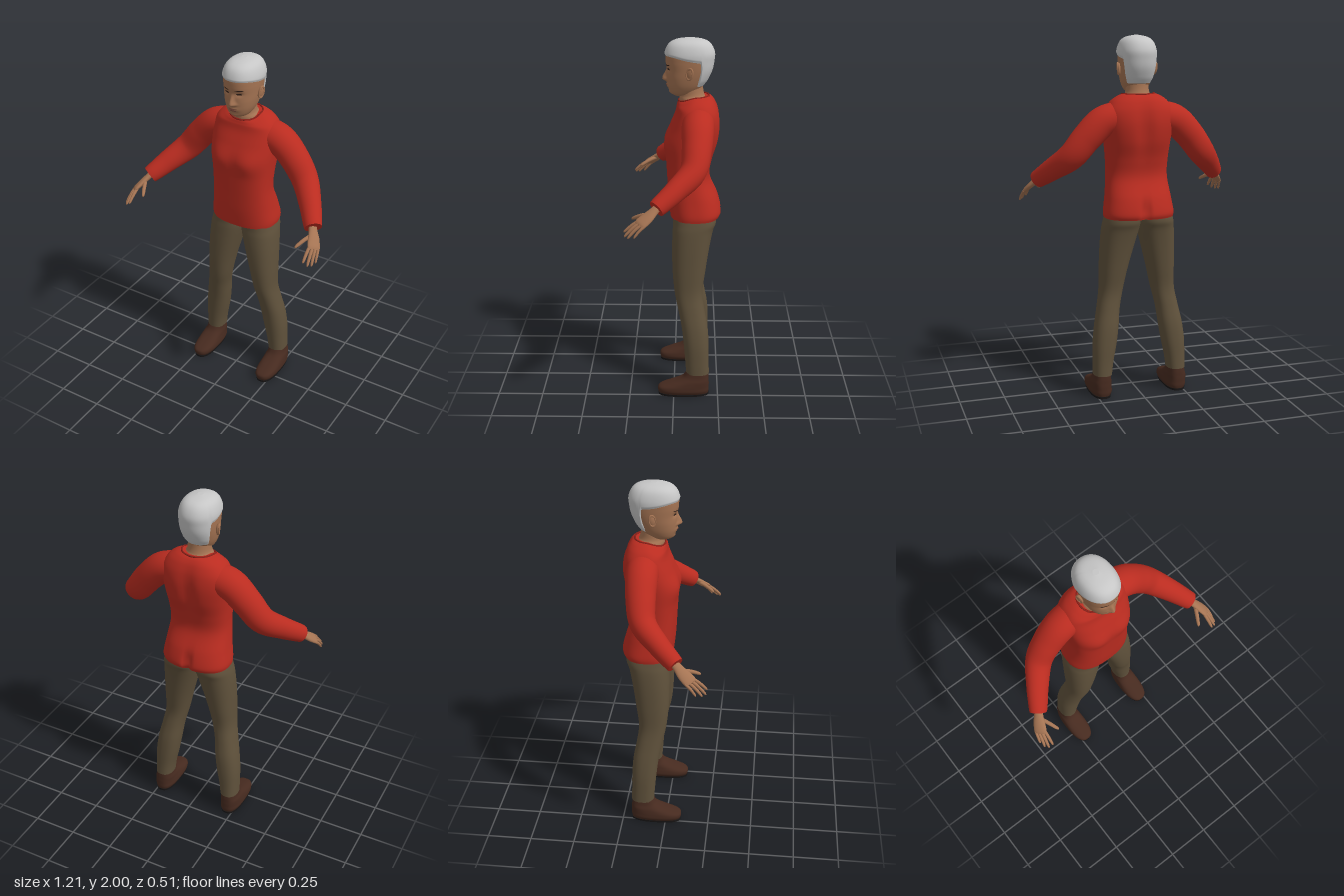
import * as THREE from 'three';

const mat = (name, color) => {
  const m = new THREE.MeshStandardMaterial({ color });
  m.name = name;
  return m;
};
const gauss = (t) => Math.exp(-t * t);
const power = (c, p) => Math.sign(c) * Math.pow(Math.abs(c), 2 / p);
const step = THREE.MathUtils.smoothstep;

// Smooth interpolation of every column of a table, t in 0..1
function sample(rows, t) {
  const f = t * (rows.length - 1), i = Math.min(Math.floor(f), rows.length - 2), w = f - i;
  const at = (k) => rows[Math.max(0, Math.min(rows.length - 1, k))];
  return rows[0].map((_, c) => {
    const [a, b, d, e] = [at(i - 1)[c], at(i)[c], at(i + 1)[c], at(i + 2)[c]];
    return b + 0.5 * w * (d - a + w * (2 * a - 5 * b + 4 * d - e + w * (3 * (b - d) + e - a)));
  });
}

// Closed skin through rings; point(angle, t) returns a Vector3
function skin(point, around, along, caps = true) {
  const pos = [], idx = [];
  const ring = (t) => {
    const start = pos.length / 3;
    for (let i = 0; i < around; i++) pos.push(...point((i / around) * Math.PI * 2, t).toArray());
    return start;
  };
  for (let j = 0; j <= along; j++) ring(j / along);
  for (let j = 0; j < along; j++) for (let i = 0; i < around; i++) {
    const a = j * around + i, b = j * around + (i + 1) % around;
    idx.push(a, a + around, b, b, a + around, b + around);
  }
  if (caps) for (const t of [0, 1]) {
    const s = ring(t), c = new THREE.Vector3();
    for (let i = 0; i < around; i++) c.add(new THREE.Vector3().fromArray(pos, (s + i) * 3));
    const m = pos.length / 3;
    pos.push(...c.divideScalar(around).toArray());
    for (let i = 0; i < around; i++) {
      const a = s + i, b = s + (i + 1) % around;
      idx.push(m, t ? b : a, t ? a : b);
    }
  }
  const g = new THREE.BufferGeometry();
  g.setAttribute('position', new THREE.Float32BufferAttribute(pos, 3));
  g.setIndex(idx);
  g.computeVertexNormals();
  return g;
}

// Horizontal rings: rows are [y, x0, x1, zFront, zBack]
function loft(rows, p = 2.2, warp = (v) => v, around = 48, along = 48) {
  return skin((a, t) => {
    const [y, x0, x1, zf, zb] = sample(rows, t);
    return warp(new THREE.Vector3((x0 + x1) / 2 + (x1 - x0) / 2 * power(Math.cos(a), p), y,
      (zf + zb) / 2 + (zf - zb) / 2 * power(Math.sin(a), p)));
  }, around, along);
}
const mirrorRows = (rows, s) => (s > 0 ? rows : rows.map(([y, a, b, f, k]) => [y, -b, -a, f, k]));

// Limb along a path: rows are [x, y, z, halfWidth, halfThickness]
function limb(rows, s, side, around = 24, along = 32) {
  const at = (t) => { const r = sample(rows, t); r[0] *= s; return r; };
  return skin((a, t) => {
    const r = at(t), c = new THREE.Vector3(r[0], r[1], r[2]);
    const tan = new THREE.Vector3(...at(Math.min(1, t + 0.01)).slice(0, 3))
      .sub(new THREE.Vector3(...at(Math.max(0, t - 0.01)).slice(0, 3))).normalize();
    const u = new THREE.Vector3(side[0] * s, side[1], side[2]);
    u.addScaledVector(tan, -u.dot(tan)).normalize();
    const n = u.clone().cross(tan);
    return c.addScaledVector(u, r[3] * Math.cos(a)).addScaledVector(n, r[4] * Math.sin(a));
  }, around, along);
}

// Head cross-sections: [y, halfWidth, zFront, zBack]
const HEAD = [[1.688, 0.025, -0.005, -0.07], [1.705, 0.056, 0.02, -0.115], [1.74, 0.076, 0.034, -0.152],
  [1.785, 0.088, 0.04, -0.178], [1.83, 0.094, 0.041, -0.198], [1.875, 0.097, 0.047, -0.207],
  [1.92, 0.096, 0.046, -0.21], [1.96, 0.08, 0.026, -0.19], [1.982, 0.052, -0.012, -0.155], [1.993, 0.008, -0.075, -0.09]];
function headRow(y) {
  let lo = 0, hi = 1;
  for (let k = 0; k < 24; k++) {
    const m = (lo + hi) / 2;
    if (sample(HEAD, m)[0] < y) lo = m; else hi = m;
  }
  return sample(HEAD, lo);
}
// Nose, eye sockets, mouth and chin
function relief(x, y) {
  const nose = (y < 1.778 ? gauss((y - 1.778) / 0.01) : 1 - step(y, 1.778, 1.845));
  return 0.026 * nose * gauss(x / (0.011 + 0.008 * gauss((y - 1.775) / 0.014)))
    - 0.008 * gauss((Math.abs(x) - 0.036) / 0.018) * gauss((y - 1.836) / 0.013)
    + 0.007 * gauss(x / 0.028) * gauss((y - 1.746) / 0.014)
    + 0.006 * gauss(x / 0.025) * gauss((y - 1.708) / 0.012);
}
function faceZ(x, y) {
  const [, w, f, b] = headRow(y);
  return (f + b) / 2 + (f - b) / 2 * Math.pow(Math.max(0, 1 - Math.pow(Math.abs(x) / w, 2.2)), 1 / 2.2) + relief(x, y);
}
// Thin oval that follows the face
function facePatch(cx, cy, w, h, tilt = 0, lift = 0.002) {
  const g = new THREE.CircleGeometry(1, 24), p = g.attributes.position;
  for (let i = 0; i < p.count; i++) {
    const x = cx + p.getX(i) * w, y = cy + p.getY(i) * h + tilt * p.getX(i);
    p.setXYZ(i, x, y, faceZ(x, y) + lift);
  }
  g.computeVertexNormals();
  return g;
}

export function createModel() {
  const skinMat = mat('skin', 0xa57453), lips = mat('lips', 0x8a5344), dark = mat('eyes and brows', 0x33221b);
  const red = mat('sweater red', 0xba2c20), trim = mat('collar red', 0x8a2018), cloth = mat('trouser brown', 0x5f513b);
  const leather = mat('shoe leather', 0x462a1f), rubber = mat('sole', 0x191616), grey = mat('hair grey', 0xc6c6c6);
  red.side = THREE.DoubleSide;
  const model = new THREE.Group();
  const add = (name, geometry, material, parent = model) => {
    const m = new THREE.Mesh(geometry, material);
    m.name = name;
    parent.add(m);
    return m;
  };

  // Sweater body with spine groove, seat crease and dipped neckline
  const body = [[1.018, 0.192, 0.022, -0.252], [1.05, 0.194, 0.026, -0.26], [1.13, 0.182, 0.034, -0.24], [1.24, 0.17, 0.04, -0.195],
    [1.34, 0.173, 0.046, -0.207], [1.44, 0.182, 0.054, -0.238], [1.53, 0.19, 0.022, -0.25], [1.6, 0.187, -0.006, -0.243],
    [1.65, 0.158, -0.014, -0.225], [1.678, 0.122, -0.018, -0.205], [1.69, 0.092, -0.022, -0.187]];
  add('sweaterBody', loft(body.map(([y, w, f, b]) => [y, -w, w, f, b]), 2.5, (v) => {
    if (v.z < -0.1) v.z += 0.028 * gauss(v.x / 0.018) * gauss((v.y - 1.06) / 0.06) + 0.018 * gauss(v.x / 0.04) * gauss((v.y - 1.5) / 0.13);
    else v.z += 0.008 * (gauss((Math.abs(v.x) - 0.09) / 0.05) - 0.6 * gauss(v.x / 0.03)) * gauss((v.y - 1.43) / 0.06);
    v.y -= 0.028 * step(v.z, -0.12, -0.02) * step(v.y, 1.62, 1.69);
    return v;
  }, 72, 64), red);

  // Neckline rim
  const rim = new THREE.CatmullRomCurve3(Array.from({ length: 16 }, (_, i) => {
    const a = (i / 16) * Math.PI * 2, z = -0.105 + 0.082 * Math.sin(a);
    return new THREE.Vector3(0.09 * Math.cos(a), 1.69 - 0.028 * step(z, -0.12, -0.02), z);
  }), true);
  add('collar', new THREE.TubeGeometry(rim, 64, 0.005, 8, true), trim);

  // Head and neck
  add('neck', loft([[1.6, -0.085, 0.085, -0.035, -0.18], [1.665, -0.082, 0.082, -0.028, -0.178],
    [1.695, -0.066, 0.066, -0.03, -0.162], [1.73, -0.062, 0.062, -0.03, -0.155], [1.78, -0.06, 0.06, -0.03, -0.155]], 2), skinMat);
  add('head', loft(HEAD.map(([y, w, f, b]) => [y, -w, w, f, b]), 2.2, (v) => {
    if (v.z > -0.03) v.z += relief(v.x, v.y) * step(v.z, -0.03, 0.01);
    return v;
  }, 128, 100), skinMat);

  // Cropped hair: low at the nape, straight across the forehead
  add('hair', skin((a, t) => {
    const s = Math.sin(a), line = 1.878 + 0.03 * step(s, -0.5, 0.9) - 0.132 * step(-s, 0.42, 0.62);
    const y = line + (1.9928 - line) * Math.sin(t * Math.PI / 2), [, w, f, b] = headRow(y);
    const o = 0.002 + 0.005 * step(t, 0, 0.08);
    return new THREE.Vector3((w + o) * power(Math.cos(a), 2.2), y + o * step(y, 1.9, 1.99),
      (f + b) / 2 + ((f - b) / 2 + o) * power(s, 2.2));
  }, 96, 40), grey);

  // Mouth
  add('upperLip', facePatch(0, 1.749, 0.026, 0.0045), lips);
  add('lowerLip', facePatch(0, 1.739, 0.022, 0.005), lips);

  const trouser = [[1.06, -0.004, 0.178, 0.005, -0.225], [1.0, -0.006, 0.194, 0.004, -0.232], [0.95, 0.0, 0.203, 0.008, -0.215],
    [0.85, 0.026, 0.21, 0.011, -0.195], [0.72, 0.06, 0.214, 0.008, -0.175], [0.6, 0.086, 0.217, -0.004, -0.16],
    [0.5, 0.108, 0.234, -0.025, -0.172], [0.4, 0.12, 0.254, -0.044, -0.19], [0.3, 0.135, 0.266, -0.056, -0.197],
    [0.2, 0.155, 0.268, -0.065, -0.198], [0.13, 0.164, 0.268, -0.07, -0.2]].reverse();
  const shoe = [[0.008, 0.167, 0.273, 0.082, -0.196], [0.028, 0.157, 0.283, 0.09, -0.2], [0.05, 0.158, 0.283, 0.082, -0.2],
    [0.07, 0.162, 0.28, 0.03, -0.2], [0.088, 0.165, 0.276, -0.02, -0.199], [0.11, 0.17, 0.268, -0.055, -0.198], [0.145, 0.173, 0.262, -0.075, -0.194]];
  const sole = [[0, 0.165, 0.276, 0.087, -0.199], [0.012, 0.163, 0.278, 0.088, -0.2]];
  const arm = [[0.09, 1.575, -0.13, 0.085, 0.08], [0.2, 1.545, -0.127, 0.086, 0.084], [0.29, 1.462, -0.122, 0.079, 0.08],
    [0.37, 1.362, -0.1, 0.07, 0.074], [0.45, 1.285, -0.012, 0.058, 0.062], [0.505, 1.23, 0.062, 0.05, 0.052], [0.521, 1.214, 0.083, 0.046, 0.048]];
  const across = [0.04, -0.026, -0.026];
  const palm = [[0.5, 1.235, 0.055, 0.024, 0.019], [0.524, 1.208, 0.09, 0.024, 0.017], [0.548, 1.178, 0.125, 0.033, 0.016],
    [0.566, 1.153, 0.158, 0.036, 0.013], [0.573, 1.143, 0.17, 0.03, 0.008]];
  // Knuckle and tip of each finger, then radius
  const fingers = {
    thumb: [[0.532, 1.188, 0.115], [0.483, 1.147, 0.212], 0.011],
    indexFinger: [[0.55, 1.163, 0.163], [0.553, 1.098, 0.25], 0.009],
    middleFinger: [[0.564, 1.153, 0.165], [0.577, 1.082, 0.246], 0.009],
    ringFinger: [[0.577, 1.145, 0.158], [0.592, 1.078, 0.228], 0.0085],
    littleFinger: [[0.588, 1.137, 0.146], [0.6, 1.082, 0.196], 0.0075],
  };

  for (const [s, label] of [[1, 'left'], [-1, 'right']]) {
    // Leg and shoe
    add(label + 'TrouserLeg', loft(mirrorRows(trouser, s), 2.3), cloth);
    add(label + 'Shoe', loft(mirrorRows(shoe, s), 2.6), leather);
    add(label + 'Sole', loft(mirrorRows(sole, s), 2.6, undefined, 48, 2), rubber);
    // Sleeve and hand
    add(label + 'Sleeve', limb(arm, s, [0, 0, 1], 40, 48), red);
    const hand = new THREE.Group();
    hand.name = label + 'Hand';
    model.add(hand);
    add('palm', limb(palm, s, across), skinMat, hand);
    for (const [name, [k, e, r]] of Object.entries(fingers)) {
      const rows = [[-0.15, 0.9], [0.2, 1], [0.5, 0.98], [0.8, 0.85], [0.95, 0.6], [1, 0.15]].map(([t, w]) => [
        k[0] + (e[0] - k[0]) * t, k[1] + (e[1] - k[1]) * t + 0.006 * Math.sin(Math.PI * t), k[2] + (e[2] - k[2]) * t, r * w, r * w]);
      add(name, limb(rows, s, across, 12, 16), skinMat, hand);
    }
    // Eye, brow and ear
    add(label + 'Eye', facePatch(0.036 * s, 1.836, 0.015, 0.005), dark);
    add(label + 'Brow', facePatch(0.038 * s, 1.858, 0.022, 0.003, 0.002 * s), dark);
    const ear = new THREE.Group();
    ear.name = label + 'Ear';
    ear.position.set(0.099 * s, 1.822, -0.083);
    ear.rotation.set(-0.2, -0.35 * s, 0.12 * -s);
    model.add(ear);
    add('earShell', new THREE.SphereGeometry(1, 20, 14), skinMat, ear).scale.set(0.01, 0.034, 0.02);
    const helix = add('earRim', new THREE.TorusGeometry(0.02, 0.0045, 8, 28), skinMat, ear);
    helix.rotation.y = Math.PI / 2;
    helix.scale.set(0.85, 1.5, 1);
    helix.position.x = 0.006 * s;
  }
  return model;
}
